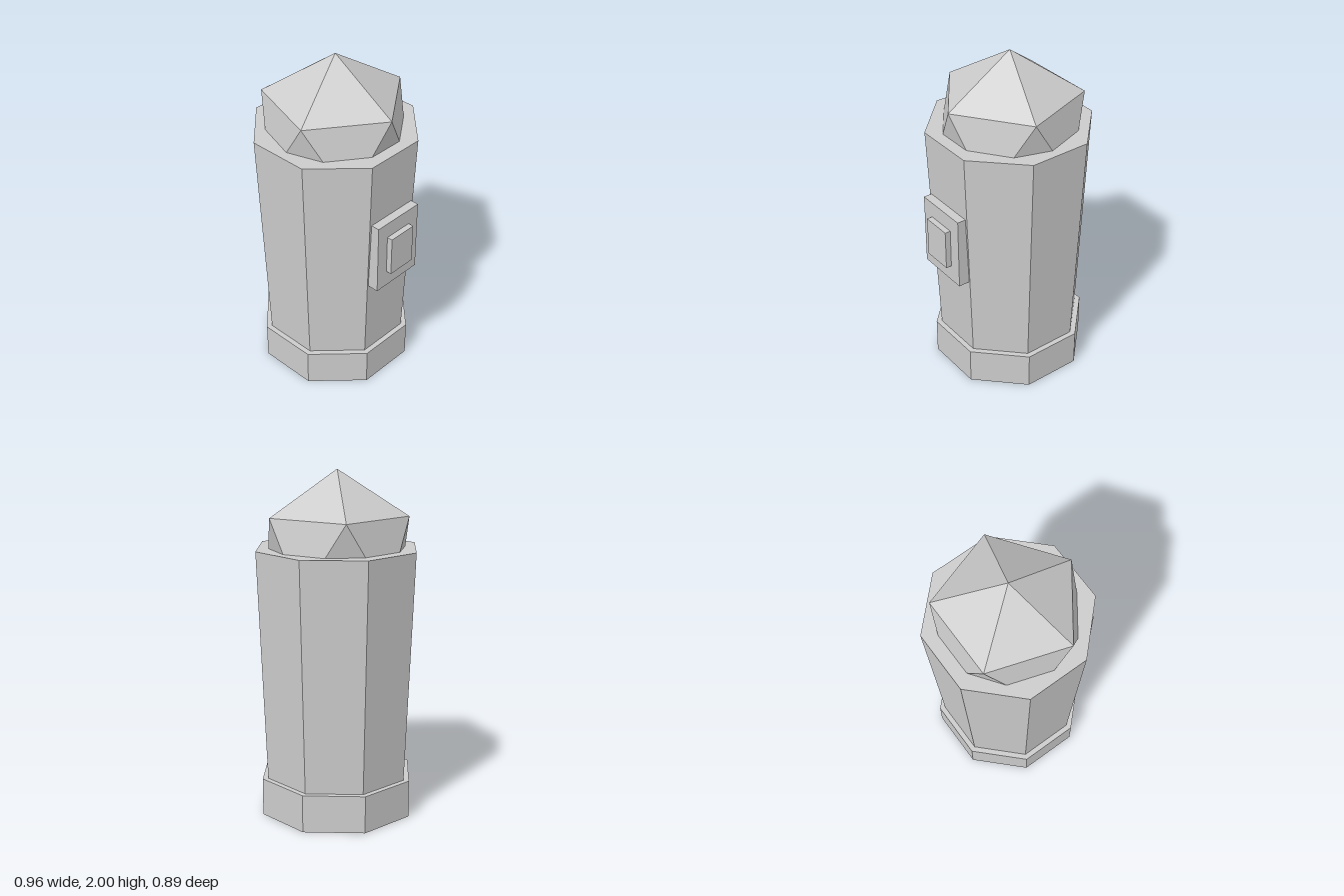
import * as THREE from 'three';

export function createModel() {
  const model = new THREE.Group();
  model.name = 'bollard';
  const axisX = -0.035;

  const grey = new THREE.MeshStandardMaterial({ color: 0xcccccc, flatShading: true });
  grey.name = 'light grey';

  function add(name, geometry, x, y, z = 0) {
    const mesh = new THREE.Mesh(geometry, grey);
    mesh.name = name;
    mesh.position.set(x, y, z);
    model.add(mesh);
    return mesh;
  }

  // Octagonal section with flat faces on the axes, sized by its half-widths
  function octagon(name, topHalf, bottomHalf, y0, y1) {
    const k = 1 / Math.cos(Math.PI / 8);
    const geometry = new THREE.CylinderGeometry(topHalf * k, bottomHalf * k, y1 - y0, 8);
    geometry.rotateY(Math.PI / 8);
    return add(name, geometry, axisX, (y0 + y1) / 2);
  }

  octagon('base', 0.425, 0.425, 0, 0.22);
  octagon('post', 0.445, 0.394, 0.22, 1.56);

  // Faceted cap: an icosahedron standing on a corner, half sunk into the post
  const radius = 0.459;
  const golden = (1 + Math.sqrt(5)) / 2;
  const cap = new THREE.IcosahedronGeometry(radius, 0);
  cap.rotateZ(-Math.atan(1 / golden));
  add('cap', cap, axisX, 2 - radius);

  // Stepped panel on the left side: [name, inner x, outer x, bottom, top, width]
  for (const [name, x0, x1, y0, y1, width] of [
    ['panel', 0.36, 0.446, 0.73, 1.165, 0.328],
    ['panelButton', 0.44, 0.48, 0.83, 1.07, 0.178],
  ]) {
    add(name, new THREE.BoxGeometry(x1 - x0, y1 - y0, width), (x0 + x1) / 2, (y0 + y1) / 2);
  }

  return model;
}
